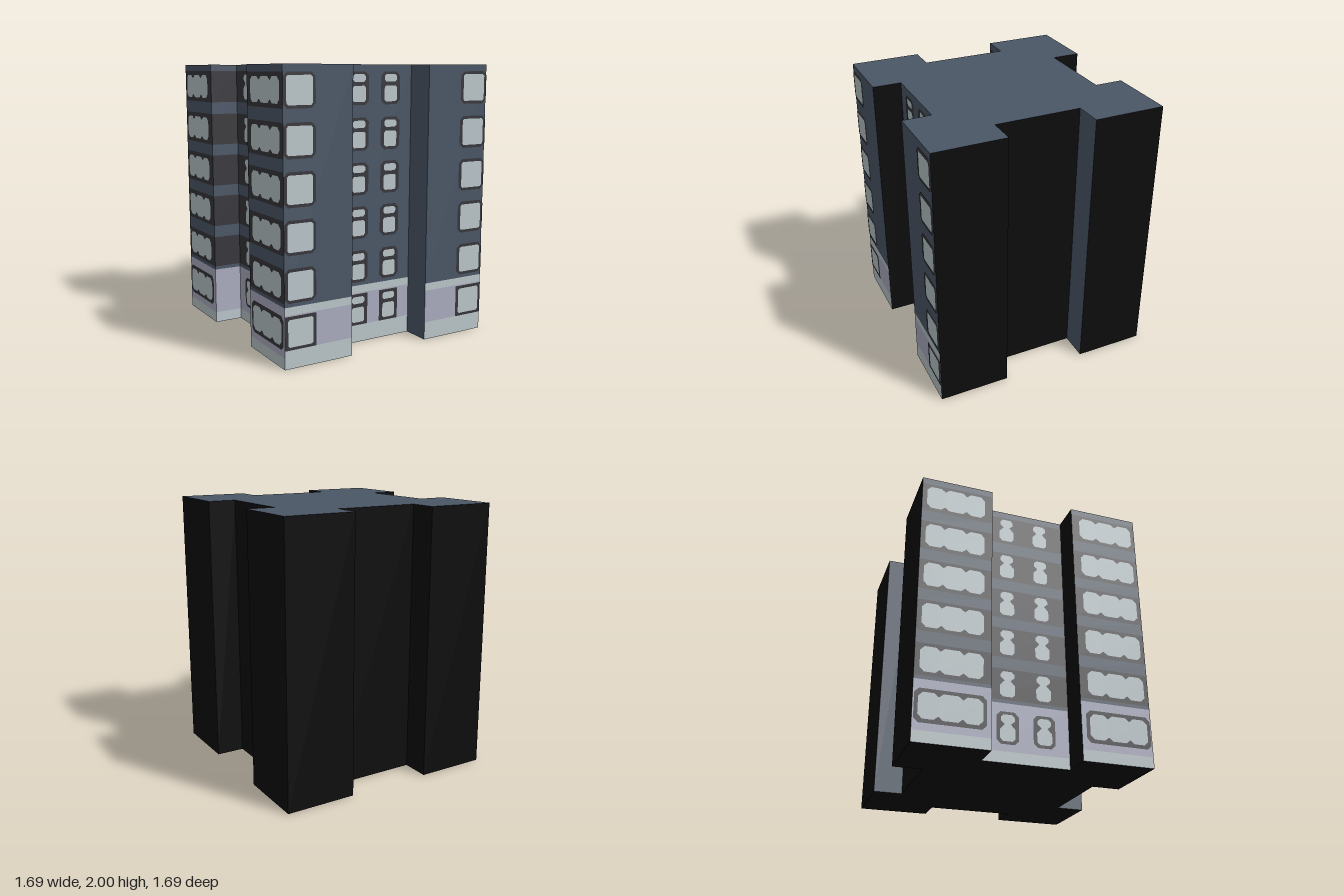
import * as THREE from 'three';

const mat = (name, color) => {
  const m = new THREE.MeshStandardMaterial({ color });
  m.name = name;
  return m;
};

export function createModel() {
  const slate = mat('slate wall', 0x4b5767);
  const pale = mat('pale glass and stone', 0xbcc7cb);
  const lavender = mat('lavender plaster', 0xacadc0);
  const charcoal = mat('charcoal frame', 0x37363b);
  const black = mat('black wall', 0x0d0d0d);

  const H = 2, A = 0.84, B = 0.63, C = 0.316;
  const rows = [0.13, 0.45, 0.77, 1.085, 1.4, 1.72]; // bottoms of the window rows
  const rowH = 0.232;
  const model = new THREE.Group();
  model.name = 'apartmentBlock';

  const add = (parent, name, geometry, material, x = 0, y = 0, z = 0) => {
    const mesh = new THREE.Mesh(geometry, material);
    mesh.name = name;
    mesh.position.set(x, y, z);
    parent.add(mesh);
    return mesh;
  };

  // Flat rectangle with cut corners, centred on its own origin
  const chamfered = (w, h, c) => {
    const a = w / 2, b = h / 2;
    return new THREE.ShapeGeometry(new THREE.Shape([
      [-a + c, -b], [a - c, -b], [a, -b + c], [a, b - c],
      [a - c, b], [-a + c, b], [-a, b - c], [-a, -b + c],
    ].map(p => new THREE.Vector2(...p))));
  };

  // Pane whose top and bottom edges are notched
  const notched = (w, h, c, notches) => {
    const a = w / 2, b = h / 2, pts = [];
    for (const s of [-1, 1]) {
      pts.push([s * a, s * (b - c)], [s * (a - c), s * b]);
      const list = s < 0 ? notches : [...notches].reverse();
      for (const [u, r, d] of list) {
        pts.push([u - s * -r, s * b], [u, s * (b - d)], [u + s * -r, s * b]);
      }
      pts.push([-s * (a - c), s * b], [-s * a, s * (b - c)]);
    }
    return new THREE.ShapeGeometry(new THREE.Shape(pts.map(p => new THREE.Vector2(...p))));
  };

  // A wall's horizontal bands: [bottom, top, material]
  const plain = m => [[0, H, m]];
  const ground = [[0, 0.13, pale], [0.13, 0.37, lavender]];
  const frontBands = [...ground, [0.37, 0.425, pale], [0.425, H, slate]];
  const leftBands = [[0, 0.08, pale], [0.08, 0.425, lavender]];
  let from = 0.425;
  for (const y of rows.slice(1)) {
    leftBands.push([from, y, slate], [y, y + rowH, charcoal]);
    from = y + rowH;
  }
  leftBands.push([from, H, slate]);

  // Cross-shaped footprint, counter-clockwise as (x, -z)
  const outline = [
    [-A, -A], [-C, -A], [-C, -B], [C, -B], [C, -A], [A, -A], [A, -C],
    [B, -C], [B, C], [A, C], [A, A], [C, A], [C, B], [-C, B], [-C, A],
    [-A, A], [-A, C], [-B, C], [-B, -C], [-A, -C],
  ];
  const footprint = new THREE.Shape(outline.map(p => new THREE.Vector2(...p)));
  add(model, 'roof', new THREE.ShapeGeometry(footprint), slate, 0, H).rotation.x = -Math.PI / 2;
  const under = new THREE.Shape(outline.map(([x, y]) => new THREE.Vector2(x, y)));
  add(model, 'underside', new THREE.ShapeGeometry(under), black).rotation.x = Math.PI / 2;

  // Walls around the footprint
  outline.forEach(([x0, y0], i) => {
    const [x1, y1] = outline[(i + 1) % outline.length];
    const z0 = -y0, z1 = -y1;
    const nx = Math.sign(z0 - z1), nz = Math.sign(x1 - x0);
    const cx = (x0 + x1) / 2, cz = (z0 + z1) / 2;
    let bands = plain(black);
    if (nz > 0) bands = cz > 0 ? frontBands : plain(slate);
    if (nz > 0 && cz < 0 && cx < 0) bands = leftBands;
    if (nx < 0) bands = cx < 0 ? leftBands : plain(slate);
    const wall = new THREE.Group();
    wall.name = 'wall' + (i + 1);
    wall.position.set(cx, 0, cz);
    wall.rotation.y = Math.atan2(nx, nz);
    const w = Math.hypot(x1 - x0, z1 - z0);
    for (const [lo, hi, m] of bands) {
      add(wall, 'wallBand', new THREE.PlaneGeometry(w, hi - lo), m, 0, (lo + hi) / 2);
    }
    model.add(wall);
  });

  // Front windows: square ones on the wings, split ones in the recess
  const front = new THREE.Group();
  front.name = 'frontWindows';
  model.add(front);
  rows.forEach((y, i) => {
    const mid = y + rowH / 2, cut = i ? 0.03 : 0.002;
    for (const s of [-1, 1]) {
      add(front, 'wingFrame', chamfered(0.238, rowH, cut), charcoal, s * 0.721, mid, A + 0.003);
      add(front, 'wingPane', chamfered(0.192, 0.19, 0.012), pale, s * 0.721, mid, A + 0.006);
      add(front, 'recessFrame', chamfered(0.163, rowH, cut), charcoal, s * 0.133, mid, B + 0.003);
      add(front, 'lowerPane', chamfered(0.106, 0.112, 0.012), pale, s * 0.133, y + 0.077, B + 0.006);
      add(front, 'upperPane', chamfered(0.106, 0.052, 0.014), pale, s * 0.133, y + 0.186, B + 0.006);
    }
  });

  // Windows of the -x side: wide notched panes and narrow waisted ones
  const side = new THREE.Group();
  side.name = 'sideWindows';
  side.rotation.y = -Math.PI / 2;
  model.add(side);
  const wide = notched(0.43, 0.18, 0.03, [[-0.08, 0.03, 0.025], [0.08, 0.03, 0.025]]);
  const waisted = new THREE.ShapeGeometry(new THREE.Shape([
    [-0.035, -0.095], [0.035, -0.095], [0.055, -0.075], [0.055, -0.01], [0.022, 0.025], [0.05, 0.05],
    [0.05, 0.075], [0.03, 0.095], [-0.03, 0.095], [-0.05, 0.075], [-0.05, 0.05], [-0.022, 0.025],
    [-0.055, -0.01], [-0.055, -0.075],
  ].map(p => new THREE.Vector2(...p))));
  rows.forEach((y, i) => {
    const mid = y + rowH / 2;
    for (const s of [-1, 1]) {
      if (i === 0) {
        add(side, 'wingFrame', chamfered(0.48, rowH, 0.03), charcoal, s * 0.59, mid, A + 0.003);
        add(side, 'recessFrame', chamfered(0.16, rowH, 0.03), charcoal, s * 0.133, mid, B + 0.003);
      }
      add(side, 'wingPane', wide, pale, s * 0.59, mid, A + 0.006);
      add(side, 'recessPane', waisted, pale, s * 0.133, mid, B + 0.006);
    }
  });
  return model;
}
